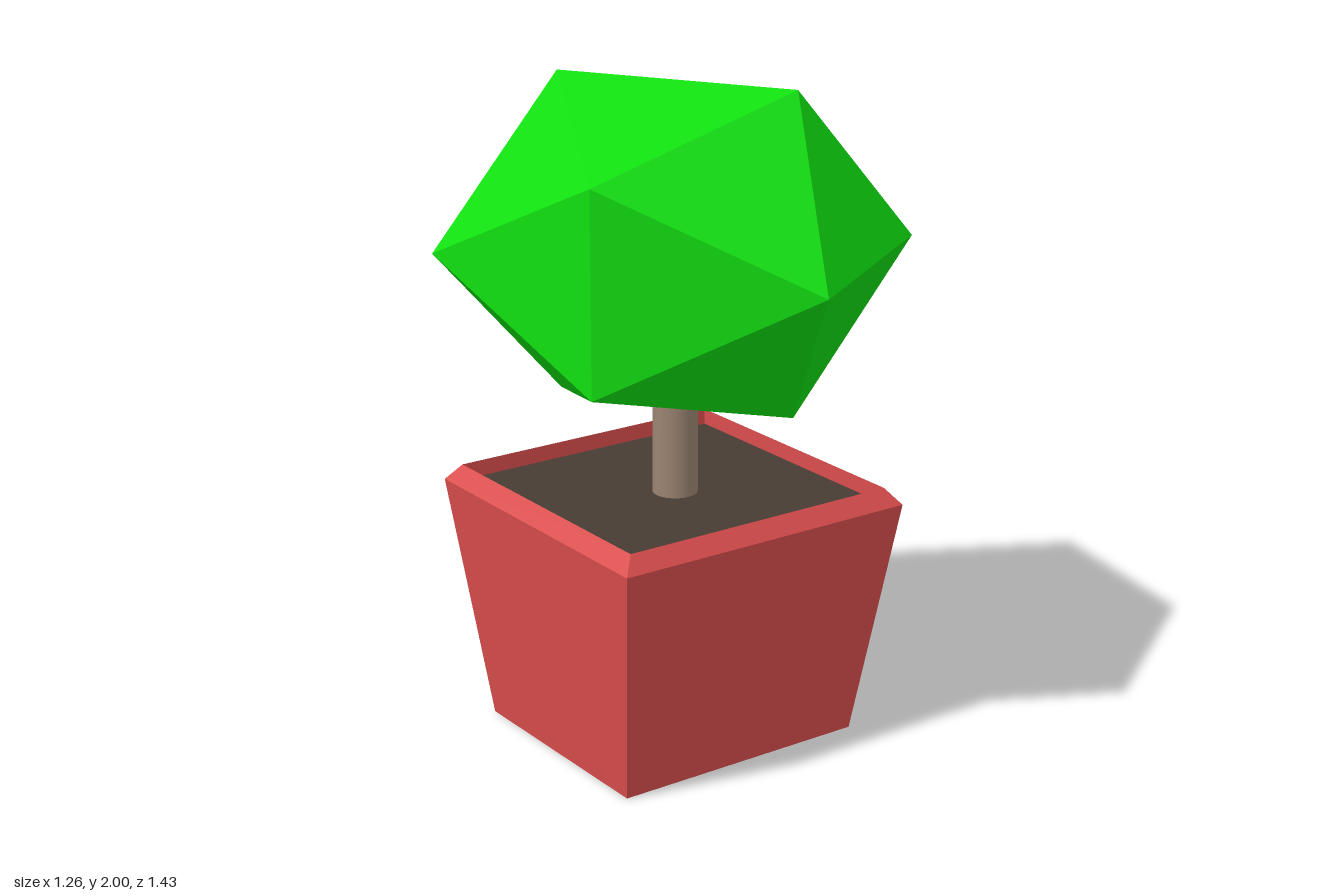
import * as THREE from 'three';
import { ConvexGeometry } from 'three/addons/geometries/ConvexGeometry.js';

function mesh(name, geometry, color, flatShading = false) {
  const m = new THREE.Mesh(geometry, new THREE.MeshStandardMaterial({ color, flatShading }));
  m.name = name;
  return m;
}

// Skin a stack of rectangles [y, halfX, halfZ]; the first one is closed off as the base
function rectLoft(rings) {
  const corners = rings.map(([y, hx, hz]) =>
    [[-hx, y, hz], [hx, y, hz], [hx, y, -hz], [-hx, y, -hz]]);
  const pos = [];
  const quad = (a, b, c, d) => pos.push(...a, ...b, ...c, ...a, ...c, ...d);
  for (let r = 0; r < rings.length - 1; r++) {
    for (let i = 0; i < 4; i++) {
      const j = (i + 1) % 4;
      quad(corners[r][i], corners[r][j], corners[r + 1][j], corners[r + 1][i]);
    }
  }
  const [a, b, c, d] = corners[0];
  quad(d, c, b, a);
  const g = new THREE.BufferGeometry();
  g.setAttribute('position', new THREE.Float32BufferAttribute(pos, 3));
  g.computeVertexNormals();
  return g;
}

// Stretched icosahedron with its poles at front and back
function foliageGeometry(ringX, ringY, pole) {
  const points = [];
  for (const s of [1, -1]) {
    points.push(new THREE.Vector3(0, 0, s * pole));
    for (let i = 0; i < 5; i++) {
      const a = i * Math.PI * 2 / 5;
      points.push(new THREE.Vector3(
        s * ringX * Math.cos(a), s * ringY * Math.sin(a), s * pole / Math.sqrt(5)));
    }
  }
  return new ConvexGeometry(points);
}

export function createModel() {
  const model = new THREE.Group();
  model.name = 'pottedTree';

  // Tapered pot: base, widest edge, bevelled lip, inner wall down to the soil
  const potX = -0.017, soilY = 0.75;
  const pot = mesh('pot', rectLoft([
    [0, 0.413, 0.363],
    [0.75, 0.495, 0.49],
    [0.8, 0.455, 0.45],
    [soilY, 0.455, 0.45],
  ]), 0xdb4d4d, true);
  pot.position.x = potX;

  const soil = mesh('soil', new THREE.PlaneGeometry(0.91, 0.9).rotateX(-Math.PI / 2), 0x473c34);
  soil.position.set(potX, soilY, 0);

  // Trunk runs from the soil into the crown
  const trunk = mesh('trunk', new THREE.CylinderGeometry(0.068, 0.068, 0.5, 32), 0x9a8370);
  trunk.position.y = soilY + 0.25;

  const foliage = mesh('foliage', foliageGeometry(0.63, 0.51, 0.715), 0x10e010, true);
  foliage.position.y = 1.515;

  model.add(pot, soil, trunk, foliage);
  return model;
}
